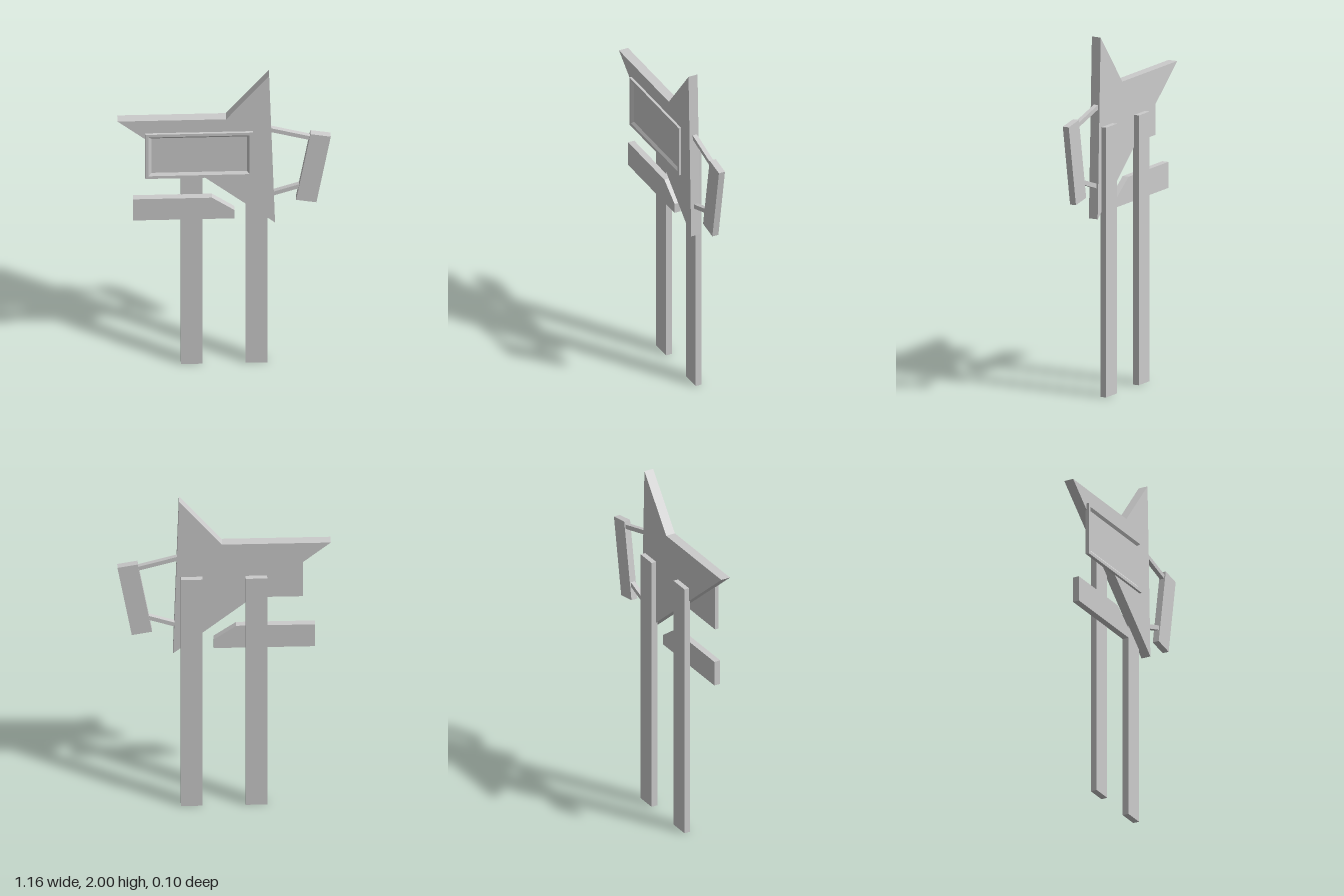
import * as THREE from 'three';

const grey = new THREE.MeshStandardMaterial({ color: 0xcccccc, flatShading: true });

function add(group, name, geometry) {
  const mesh = new THREE.Mesh(geometry, grey);
  mesh.name = name;
  group.add(mesh);
  return mesh;
}

// Flat plate with the given outline, spanning z0 to z1
function plate(points, z0, z1) {
  const shape = new THREE.Shape(points.map(([x, y]) => new THREE.Vector2(x, y)));
  const g = new THREE.ExtrudeGeometry(shape, { depth: z1 - z0, bevelEnabled: false });
  return g.translate(0, 0, z0);
}

// Bar of square section between two points in the xy plane
function bar(group, name, [x0, y0], [x1, y1], size) {
  const mesh = add(group, name, new THREE.BoxGeometry(Math.hypot(x1 - x0, y1 - y0), size, size));
  mesh.position.set((x0 + x1) / 2, (y0 + y1) / 2, 0.002);
  mesh.rotation.z = Math.atan2(y1 - y0, x1 - x0);
}

// Board with a raised rim sloping into a shallow recess, lofted from rectangles
function framedBoard(x0, x1, y0, y1, rings) {
  const pos = [], index = [];
  for (const [inset, z] of rings) {
    const a = x0 + inset, b = x1 - inset, c = y0 + inset, d = y1 - inset;
    pos.push(a, c, z, b, c, z, b, d, z, a, d, z);
  }
  for (let r = 0; r < rings.length - 1; r++) {
    for (let i = 0; i < 4; i++) {
      const p = r * 4 + i, q = r * 4 + (i + 1) % 4;
      index.push(p, q, q + 4, p, q + 4, p + 4);
    }
  }
  const n = (rings.length - 1) * 4;
  index.push(0, 2, 1, 0, 3, 2, n, n + 1, n + 2, n, n + 2, n + 3);
  const g = new THREE.BufferGeometry();
  g.setAttribute('position', new THREE.Float32BufferAttribute(pos, 3));
  g.setIndex(index);
  const flat = g.toNonIndexed();
  flat.computeVertexNormals();
  return flat;
}

export function createModel() {
  const group = new THREE.Group();
  group.name = 'roadsideSign';

  // Two flat posts behind the sign
  for (const [name, x] of [['leftPost', 0.176], ['rightPost', -0.176]]) {
    add(group, name, new THREE.BoxGeometry(0.117, 1.5, 0.036)).position.set(x, 0.75, -0.032);
  }

  // Pointed star-shaped main board
  add(group, 'starBoard', plate([[-0.58, 1.71], [0.275, 0.995], [0.243, 2], [0.01, 1.71]], -0.021, 0.034));

  // Framed display panel on the front of the star
  add(group, 'framedPanel', framedBoard(-0.43, 0.155, 1.323, 1.625,
    [[0, 0.028], [0, 0.048], [0.018, 0.048], [0.033, 0.037]]));

  // Lower board with a clipped corner
  add(group, 'lowerBoard', plate(
    [[-0.495, 1.02], [0.055, 1.02], [0.055, 1.077], [-0.067, 1.165], [-0.495, 1.165]], -0.015, 0.022));

  // Tilted side board on two arms
  add(group, 'sideBoard', plate([[0.39, 1.137], [0.5, 1.117], [0.578, 1.565], [0.468, 1.585]], -0.016, 0.021));
  bar(group, 'upperArm', [0.24, 1.617], [0.468, 1.552], 0.025);
  bar(group, 'lowerArm', [0.255, 1.174], [0.41, 1.226], 0.025);

  return group;
}
